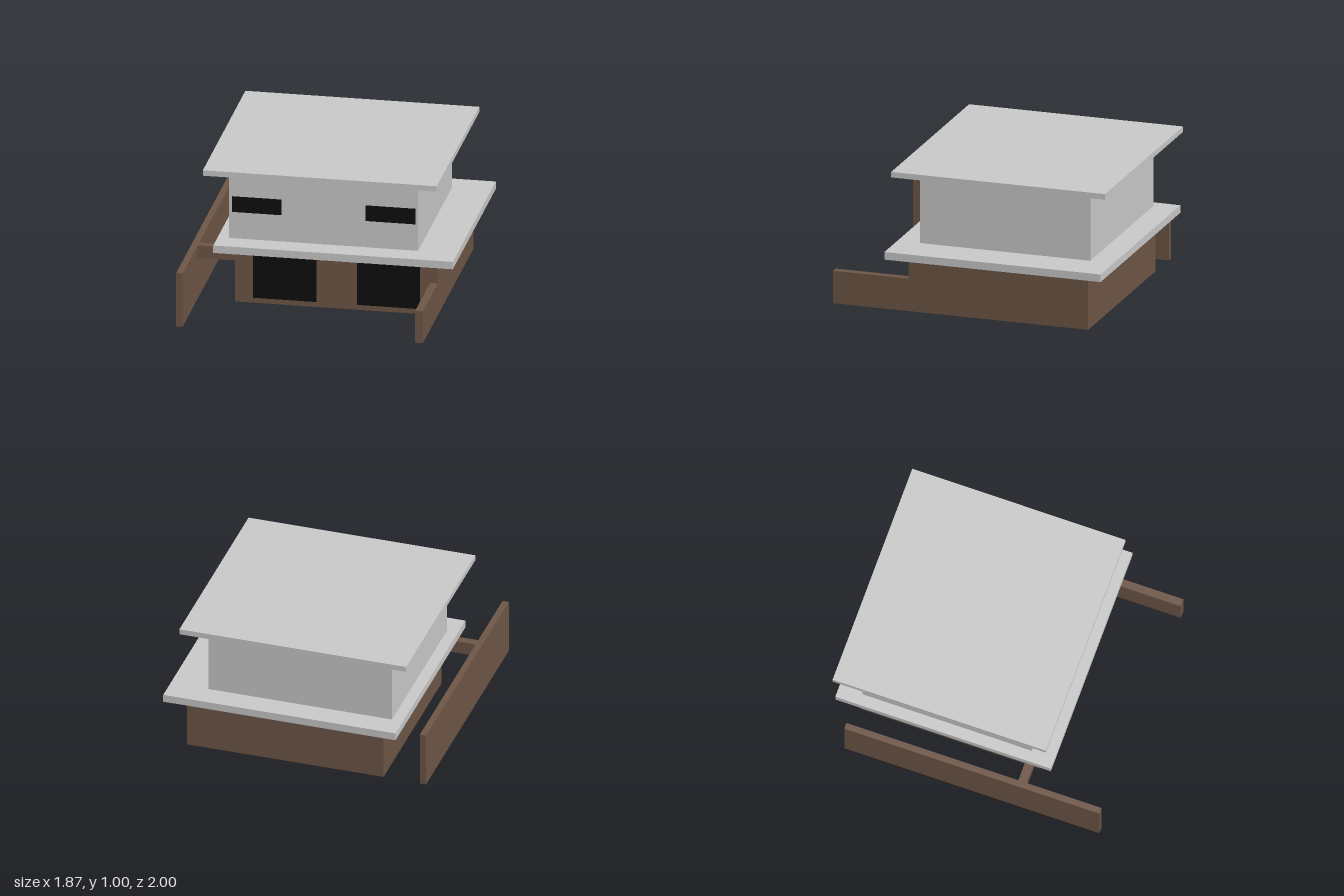
import * as THREE from 'three';

const grey = new THREE.MeshStandardMaterial({ color: 0xcccccc });
const brown = new THREE.MeshStandardMaterial({ color: 0x6f5747 });
const black = new THREE.MeshStandardMaterial({ color: 0x0e0e0e });

// Box given by its extents along each axis; materials may be one or six
function block(name, material, [x0, x1], [y0, y1], [z0, z1]) {
  const mesh = new THREE.Mesh(new THREE.BoxGeometry(x1 - x0, y1 - y0, z1 - z0), material);
  mesh.position.set((x0 + x1) / 2, (y0 + y1) / 2, (z0 + z1) / 2);
  mesh.name = name;
  return mesh;
}

// Flat pane facing the front, just proud of the wall
function pane(name, [x0, x1], [y0, y1], z) {
  const mesh = new THREE.Mesh(new THREE.PlaneGeometry(x1 - x0, y1 - y0), black);
  mesh.position.set((x0 + x1) / 2, (y0 + y1) / 2, z + 0.003);
  mesh.name = name;
  return mesh;
}

export function createModel() {
  const house = new THREE.Group();
  house.name = 'house';
  const baseFront = 0.45, upperFront = 0.415;

  // Ground floor, side walls and the beam joining the right wall
  house.add(
    block('groundFloor', brown, [-0.625, 0.8], [0, 0.398], [-0.865, baseFront]),
    block('rightGardenWall', brown, [-0.935, -0.89], [0, 0.395], [-0.87, 1]),
    block('leftGardenWall', brown, [0.745, 0.8], [0, 0.235], [baseFront, 1]),
    block('linkBeam', brown, [-0.89, -0.625], [0.303, 0.395], [0.39, baseFront])
  );

  // Overhanging slab with a brown underside, upper floor and flat roof
  house.add(
    block('floorSlab', [grey, grey, grey, brown, grey, grey], [-0.755, 0.93], [0.398, 0.453], [-1, 0.58]),
    block('upperFloor', grey, [-0.675, 0.655], [0.453, 0.96], [-0.83, upperFront]),
    block('roof', grey, [-0.83, 0.815], [0.96, 1], [-0.993, 0.57])
  );

  // Large openings below, narrow windows above
  for (const x of [[-0.498, -0.053], [0.231, 0.675]])
    house.add(pane('garageOpening', x, [0.037, 0.363], baseFront));
  for (const x of [[-0.655, -0.305], [0.286, 0.636]])
    house.add(pane('upperWindow', x, [0.648, 0.764], upperFront));

  return house;
}
